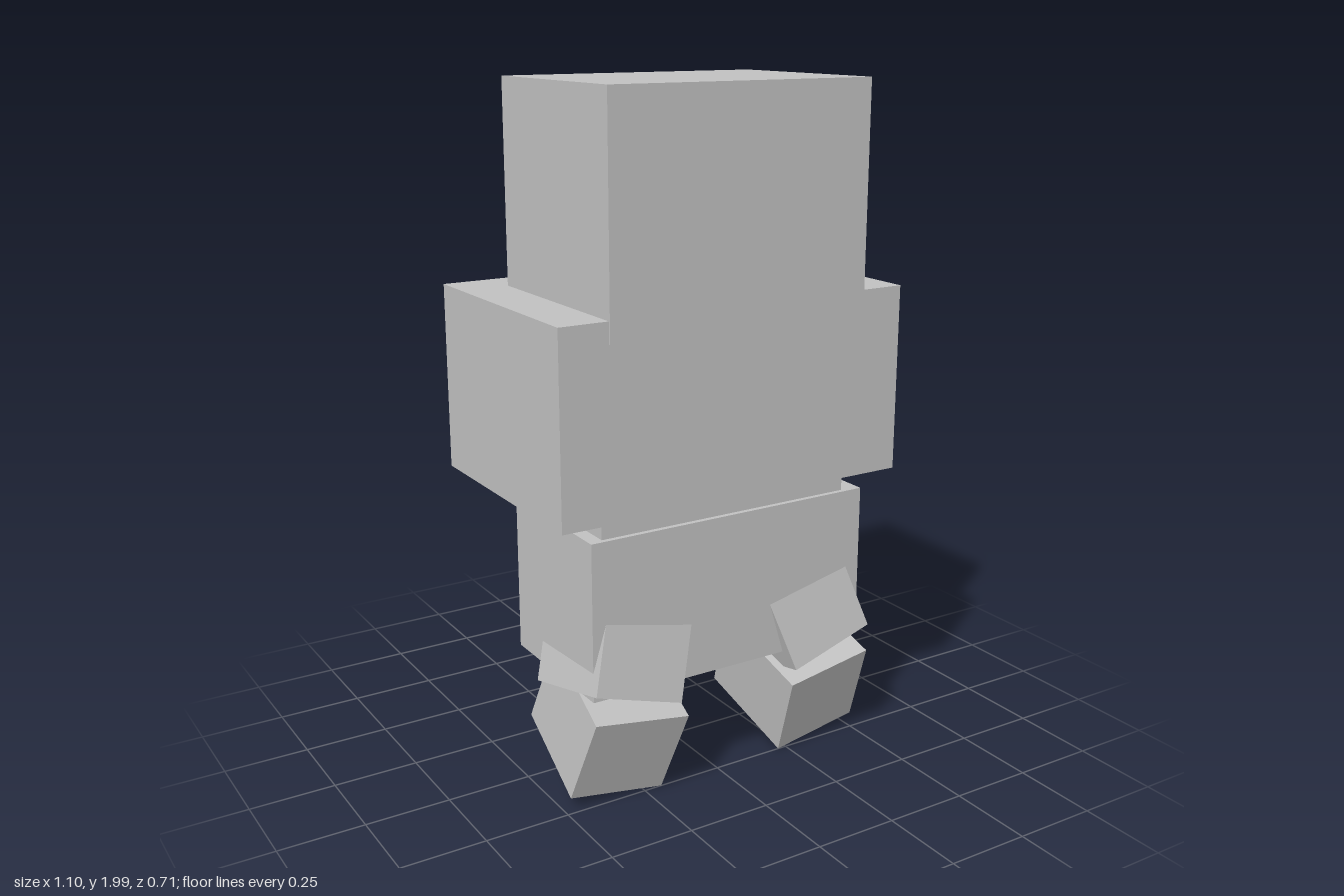
import * as THREE from 'three';

export function createModel() {
  const model = new THREE.Group();
  const grey = new THREE.MeshStandardMaterial({ color: 0xc0c0c0 });
  grey.name = 'plain grey';

  function addBox(name, size, position) {
    const mesh = new THREE.Mesh(new THREE.BoxGeometry(...size), grey);
    mesh.name = name;
    mesh.position.set(...position);
    model.add(mesh);
    return mesh;
  }

  // Upright block given by its lowest and highest corners
  function addBlock(name, min, max) {
    addBox(name, max.map((v, i) => v - min[i]), max.map((v, i) => (v + min[i]) / 2));
  }

  // Block turned by pitch, yaw and roll in degrees
  function addTurned(name, size, position, angles) {
    const [pitch, yaw, roll] = angles.map(THREE.MathUtils.degToRad);
    addBox(name, size, position).rotation.set(pitch, yaw, roll, 'YXZ');
  }

  // Stacked body
  addBlock('head', [-0.405, 1.36, -0.236], [0.41, 2, 0.352]);
  addBlock('torso', [-0.55, 0.877, -0.355], [0.545, 1.42, 0.347]);
  addBlock('waist', [-0.4, 0.78, -0.155], [0.405, 0.9, 0.285]);
  addBlock('hips', [-0.44, 0.355, -0.15], [0.465, 0.815, 0.3]);

  // Mirrored legs: thighs tip back into the hips, feet point down and outwards
  for (const [side, s] of [['left', 1], ['right', -1]]) {
    addTurned(side + 'Thigh', [0.28, 0.28, 0.33], [0.01 + s * 0.3, 0.445, 0.155], [-13, -3 * s, 17.5 * s]);
    addTurned(side + 'Foot', [0.29, 0.281, 0.33], [0.014 + s * 0.322, 0.214, 0.14], [21, 6 * s, 8 * s]);
  }
  return model;
}
